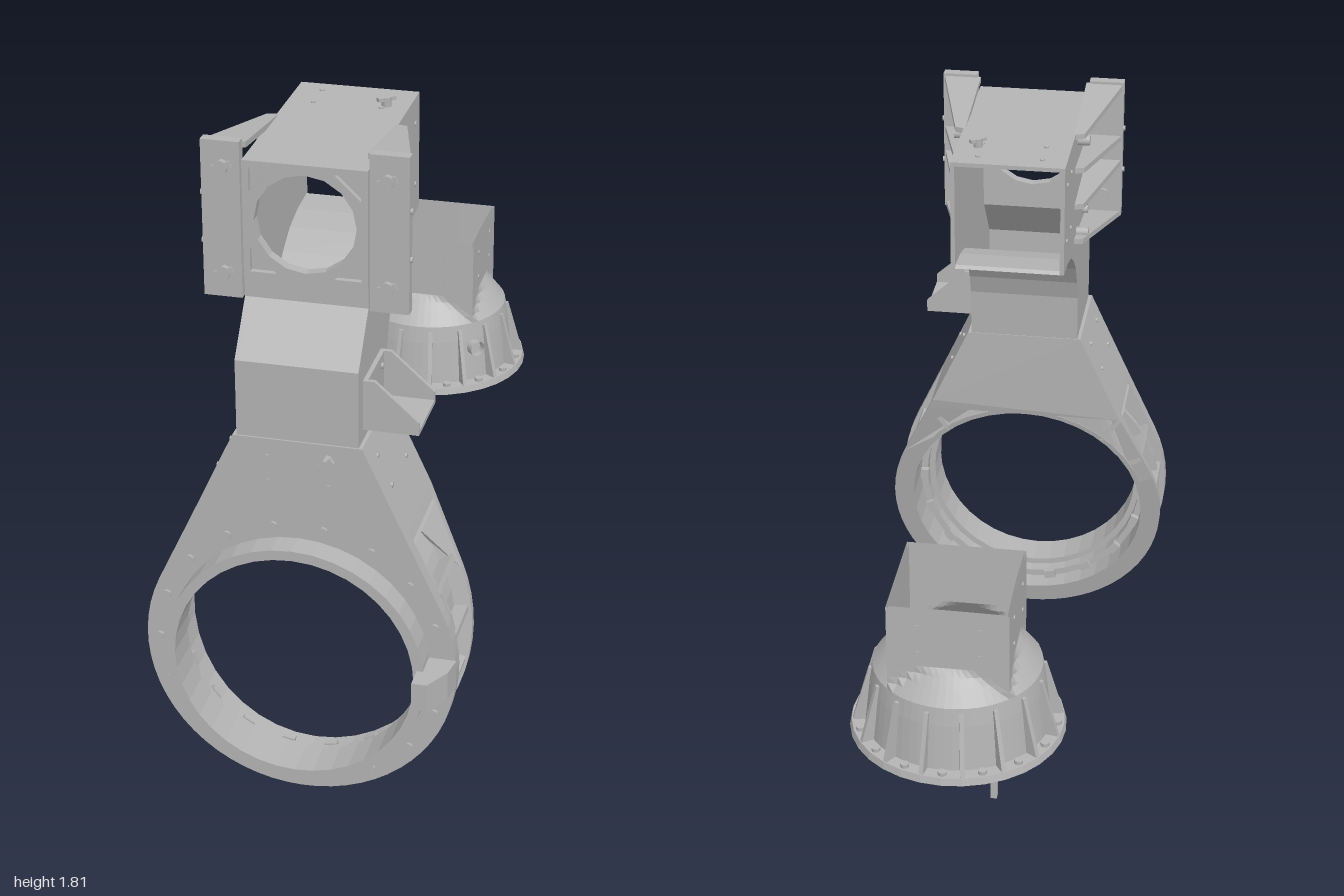
import * as THREE from 'three';

const metal = new THREE.MeshStandardMaterial({ color: 0xb4b4b4 });
metal.name = 'grey metal';
metal.side = THREE.DoubleSide;

const CY = 0.43, RING = 0.42, TANGENT = 25 * Math.PI / 180;
// slanted rear plane of the ring housing
const rear = y => y >= 0.82 ? 0.565 : 0.565 + (0.82 - y) / 0.82 * 0.175;

function add(parent, name, geo, x = 0, y = 0, z = 0) {
  const m = new THREE.Mesh(geo, metal);
  m.name = name;
  m.position.set(x, y, z);
  parent.add(m);
  return m;
}
const box = (p, name, w, h, d, x, y, z) => add(p, name, new THREE.BoxGeometry(w, h, d), x, y, z);
const poly = pts => new THREE.Shape(pts.map(p => new THREE.Vector2(...p)));
const circle = (x, y, r) => new THREE.Path().absarc(x, y, r, 0, Math.PI * 2, true);
function disc(r, hole) {
  const s = new THREE.Shape().absarc(0, CY, r, 0, Math.PI * 2, false);
  s.holes.push(circle(0, CY, hole));
  return s;
}
// outline in xy, with back and front depth given as functions of y
function slab(shape, back, front, seg = 20) {
  const g = new THREE.ExtrudeGeometry(shape, { depth: 1, bevelEnabled: false, curveSegments: seg });
  const p = g.attributes.position;
  for (let i = 0; i < p.count; i++) {
    const y = p.getY(i);
    p.setZ(i, p.getZ(i) > 0.5 ? front(y) : back(y));
  }
  g.computeVertexNormals();
  return g;
}
const at = v => () => v;
// outline in (z, y) spread between two x values
function sideways(pts, x0, x1) {
  const g = new THREE.ExtrudeGeometry(poly(pts), { depth: x1 - x0, bevelEnabled: false });
  return g.rotateY(-Math.PI / 2).translate(x1, 0, 0);
}
// outline in (x, z) spread between two y values
function flat(pts, y0, y1) {
  const g = new THREE.ExtrudeGeometry(poly(pts), { depth: y1 - y0, bevelEnabled: false });
  return g.rotateX(Math.PI / 2).translate(0, y1, 0);
}
// small cylinder pointing along an axis
function bolt(p, name, r, len, axis, x, y, z) {
  const g = new THREE.CylinderGeometry(r, r, len, 8);
  if (axis === 'z') g.rotateX(Math.PI / 2);
  if (axis === 'x') g.rotateZ(Math.PI / 2);
  return add(p, name, g, x, y, z);
}

function teardrop(hole) {
  const s = new THREE.Shape();
  s.moveTo(0.17, 1.06);
  s.lineTo(-0.17, 1.06);
  s.lineTo(-0.281, 0.82);
  s.absarc(0, CY, RING, Math.PI - TANGENT, 2 * Math.PI + TANGENT, false);
  s.lineTo(0.281, 0.82);
  s.closePath();
  s.holes.push(circle(0, CY, hole));
  return s;
}

function ringHousing() {
  const g = new THREE.Group();
  g.name = 'ringHousing';
  add(g, 'frontFlange', slab(teardrop(0.33), at(0.83), at(0.87)));
  add(g, 'rearRim', slab(teardrop(0.36), rear, y => rear(y) + 0.022));
  add(g, 'ringWall', slab(disc(0.375, 0.36), rear, at(0.85)));
  add(g, 'middleRim', slab(disc(0.405, 0.37), at(0.775), at(0.79)));
  add(g, 'frontLip', slab(disc(0.35, 0.322), at(0.83), at(0.94)));
  add(g, 'innerStep', slab(disc(0.362, 0.34), at(0.79), at(0.835)));
  add(g, 'shoulder', slab(poly([[-0.294, 0.79], [0.294, 0.79], [0.281, 0.82], [0.17, 1.06],
    [-0.17, 1.06], [-0.281, 0.82]]), rear, at(0.87)));
  for (let i = 0; i < 18; i++) {
    const a = i * Math.PI / 9, c = Math.cos(a), s = Math.sin(a);
    // front bolts and inner pads
    bolt(g, 'flangeBolt', 0.013, 0.012, 'z', 0.385 * c, CY + 0.385 * s, 0.872);
    const pad = box(g, 'innerPad', 0.035, 0.035, 0.02, 0.352 * c, CY + 0.352 * s, 0.782);
    pad.rotation.z = a;
    // outer ribs stretch to the teardrop outline
    const b = a + Math.PI / 18, cb = Math.cos(b), sb = Math.sin(b);
    const lean = sb > 0 ? Math.max(0, Math.asin(sb) - TANGENT) : 0;
    const reach = RING / Math.cos(lean) - 0.008;
    if (CY + reach * sb > 0.8) continue;
    const z0 = rear(CY + 0.4 * sb) + 0.005, len = reach - 0.365;
    const rib = box(g, 'outerRib', len, 0.014, 0.85 - z0,
      (0.365 + len / 2) * cb, CY + (0.365 + len / 2) * sb, (0.85 + z0) / 2);
    rib.rotation.z = b;
  }
  // hooked catch on the left of the ring
  add(g, 'catch', flat([[0.33, 0.87], [0.42, 0.87], [0.41, 0.93], [0.37, 1], [0.33, 1]], 0.39, 0.47));
  for (const x of [-0.08, 0.08]) for (const y of [0.94, 1.01]) bolt(g, 'shoulderScrew', 0.007, 0.006, 'z', x, y, 0.871);
  bolt(g, 'frontPin', 0.013, 0.04, 'z', 0.08, 1.02, 0.885);
  box(g, 'pinTab', 0.05, 0.014, 0.014, 0.08, 1.02, 0.9).rotation.z = 0.6;
  for (const x of [-1, 1]) for (const y of [0.93, 1.01]) for (const z of [0.64, 0.8])
    bolt(g, 'sideScrew', 0.007, 0.008, 'x', x * (0.17 + (1.06 - y) * 0.463), y, z);
  return g;
}

function duct() {
  const g = new THREE.Group();
  g.name = 'duct';
  const front = [[0.865, 1.05], [0.865, 1.27], [0.76, 1.4], [0.76, 1.47]];
  const under = [[0.568, 1.05], [0.56, 1.2], [0.54, 1.26], [0.5, 1.325], [0.44, 1.38], [0.37, 1.42], [0.29, 1.44], [0.2, 1.447]];
  const outline = [...front.slice(0, 3), [0.76, 1.77], [0.2, 1.77], ...[...under].reverse()];
  const wall = (pts, dz, dy) => [...pts, ...pts.map(([z, y]) => [z + dz, y + dy]).reverse()];
  for (const x of [-0.16, 0.148]) add(g, 'sideWall', sideways(outline, x, x + 0.012));
  add(g, 'frontWall', sideways(wall(front, -0.012, 0), -0.155, 0.155));
  add(g, 'curvedRearWall', sideways(wall(under, 0.008, 0.009), -0.155, 0.155));
  box(g, 'topWall', 0.31, 0.012, 0.56, 0, 1.764, 0.48);
  // front plate with a round port and corner pockets
  const plate = () => {
    const s = poly([[-0.16, 1.455], [0.16, 1.455], [0.16, 1.77], [-0.16, 1.77]]);
    s.holes.push(circle(0, 1.612, 0.132));
    return s;
  };
  add(g, 'portPlate', slab(plate(), at(0.735), at(0.75), 8));
  const cover = plate();
  for (const sx of [-1, 1]) for (const sy of [-1, 1])
    cover.holes.push(new THREE.Path([[0.143, 0.14], [0.075, 0.14], [0.143, 0.075]].map(([x, y]) => new THREE.Vector2(sx * x, 1.612 + sy * y))));
  add(g, 'portFrame', slab(cover, at(0.749), at(0.765), 8));
  for (const x of [-1, 1]) for (const y of [1.53, 1.7]) for (const z of [0.25, 0.34])
    bolt(g, 'wallScrew', 0.007, 0.008, 'x', x * 0.16, y, z);
  for (const x of [-0.09, 0.09]) for (const z of [0.25, 0.34]) bolt(g, 'topScrew', 0.007, 0.006, 'y', x, 1.771, z);
  bolt(g, 'topPin', 0.013, 0.03, 'y', 0.1, 1.78, 0.32);
  box(g, 'topPinTab', 0.05, 0.01, 0.014, 0.1, 1.79, 0.32).rotation.y = 0.7;
  return g;
}

function mountingWing(side) {
  const g = new THREE.Group();
  g.name = side > 0 ? 'leftWing' : 'rightWing';
  box(g, 'wingPlate', 0.1, 0.42, 0.03, side * 0.215, 1.606, 0.75);
  // tapered ribs; the outer pair fans outward
  for (const [y, slope] of [[1.762, 0.13], [1.66, -0.06], [1.548, 0.06], [1.44, -0.13]]) {
    const geo = flat([[0.155, 0.44], [0.185, 0.45], [0.262, 0.74], [0.155, 0.74]].map(([x, z]) => [side * x, z]), y - 0.008, y + 0.008);
    const p = geo.attributes.position;
    for (let i = 0; i < p.count; i++) p.setY(i, p.getY(i) + slope * (p.getZ(i) - 0.44));
    geo.computeVertexNormals();
    add(g, 'wingRib', geo);
  }
  for (const y of [1.465, 1.75]) {
    bolt(g, 'wingBolt', 0.018, 0.055, 'z', side * 0.21, y, 0.752);
    box(g, 'boltTab', 0.05, 0.018, 0.01, side * 0.21, y, 0.772).rotation.z = 0.35;
    bolt(g, 'wingSideScrew', 0.012, 0.02, 'x', side * 0.165, y - 0.02, 0.66);
    bolt(g, 'wingSidePin', 0.015, 0.04, 'x', side * 0.175, y - 0.02, 0.5);
  }
  for (const y of [1.54, 1.67]) bolt(g, 'wingEdgeScrew', 0.008, 0.012, 'x', side * 0.265, y, 0.75);
  return g;
}

function sideBracket() {
  const g = new THREE.Group();
  g.name = 'sideBracket';
  for (const z of [0.63, 0.808])
    add(g, 'bracketCheek', slab(poly([[0.16, 1.09], [0.305, 1.09], [0.305, 1.125], [0.19, 1.228], [0.16, 1.228]]), at(z), at(z + 0.012)));
  box(g, 'bracketBase', 0.145, 0.012, 0.19, 0.2325, 1.096, 0.725);
  box(g, 'bracketBack', 0.012, 0.138, 0.19, 0.166, 1.159, 0.725);
  for (const y of [1.13, 1.2]) for (const z of [0.67, 0.78]) bolt(g, 'bracketScrew', 0.008, 0.008, 'x', 0.174, y, z);
  return g;
}

// funnel skin: a cone blended into a square tube
function funnelSkin(inset) {
  const N = 64, rows = [[0.555, 0.25], [0.7, 0.234], [0.75, 0.226], [0.77, 0.21], [0.79, 0.194], [0.81, 0.177], [0.83, 0.16], [1.003, 0.1]];
  const pos = [], idx = [];
  rows.forEach(([y, r], j) => {
    for (let i = 0; i <= N; i++) {
      const a = i / N * Math.PI * 2, c = Math.cos(a), s = Math.sin(a);
      const R = Math.max(r, 0.16 / Math.max(Math.abs(c), Math.abs(s))) - inset;
      pos.push(R * c, y, R * s);
      const k = j * (N + 1) + i;
      if (j && i < N) idx.push(k, k + 1, k - N - 1, k + 1, k - N, k - N - 1);
    }
  });
  const geo = new THREE.BufferGeometry();
  geo.setAttribute('position', new THREE.Float32BufferAttribute(pos, 3));
  geo.setIndex(idx);
  const out = geo.toNonIndexed();
  out.computeVertexNormals();
  return out;
}

function funnel() {
  const g = new THREE.Group();
  g.name = 'funnel';
  add(g, 'outerSkin', funnelSkin(0));
  add(g, 'innerSkin', funnelSkin(0.008));
  const profile = [[0.24, 0.552], [0.29, 0.552], [0.285, 0.572], [0.24, 0.572], [0.24, 0.552]];
  add(g, 'baseFlange', new THREE.LatheGeometry(profile.map(p => new THREE.Vector2(...p)), 32).toNonIndexed()).geometry.computeVertexNormals();
  for (let i = 0; i < 16; i++) {
    // fins and the bolts between them
    const fin = add(g, 'fin', slab(poly([[0.225, 0.565], [0.284, 0.565], [0.236, 0.735], [0.225, 0.735]]), at(-0.006), at(0.006)));
    fin.rotation.y = (i + 0.5) * Math.PI / 8;
    const a = i * Math.PI / 8;
    bolt(g, 'baseBolt', 0.012, 0.012, 'y', 0.267 * Math.cos(a), 0.576, 0.267 * Math.sin(a));
  }
  for (const s of [-1, 1]) for (const u of [-0.08, 0.08]) for (const y of [0.87, 0.95]) {
    bolt(g, 'tubeScrew', 0.007, 0.006, 'x', s * 0.16, y, u);
    bolt(g, 'tubeScrew', 0.007, 0.006, 'z', u, y, s * 0.16);
  }
  // drain spout and locating peg
  const spout = add(g, 'spout', new THREE.CylinderGeometry(0.024, 0.024, 0.04, 12, 1, true).rotateX(Math.PI / 2), 0.169, 0.675, 0.169);
  spout.rotation.y = Math.PI / 4;
  box(g, 'peg', 0.016, 0.075, 0.02, -0.13, 0.522, -0.225);
  g.position.z = -0.71;
  return g;
}

export function createModel() {
  const model = new THREE.Group();
  model.name = 'ductAssembly';
  model.add(ringHousing(), duct(), mountingWing(1), mountingWing(-1), sideBracket(), funnel());
  return model;
}
